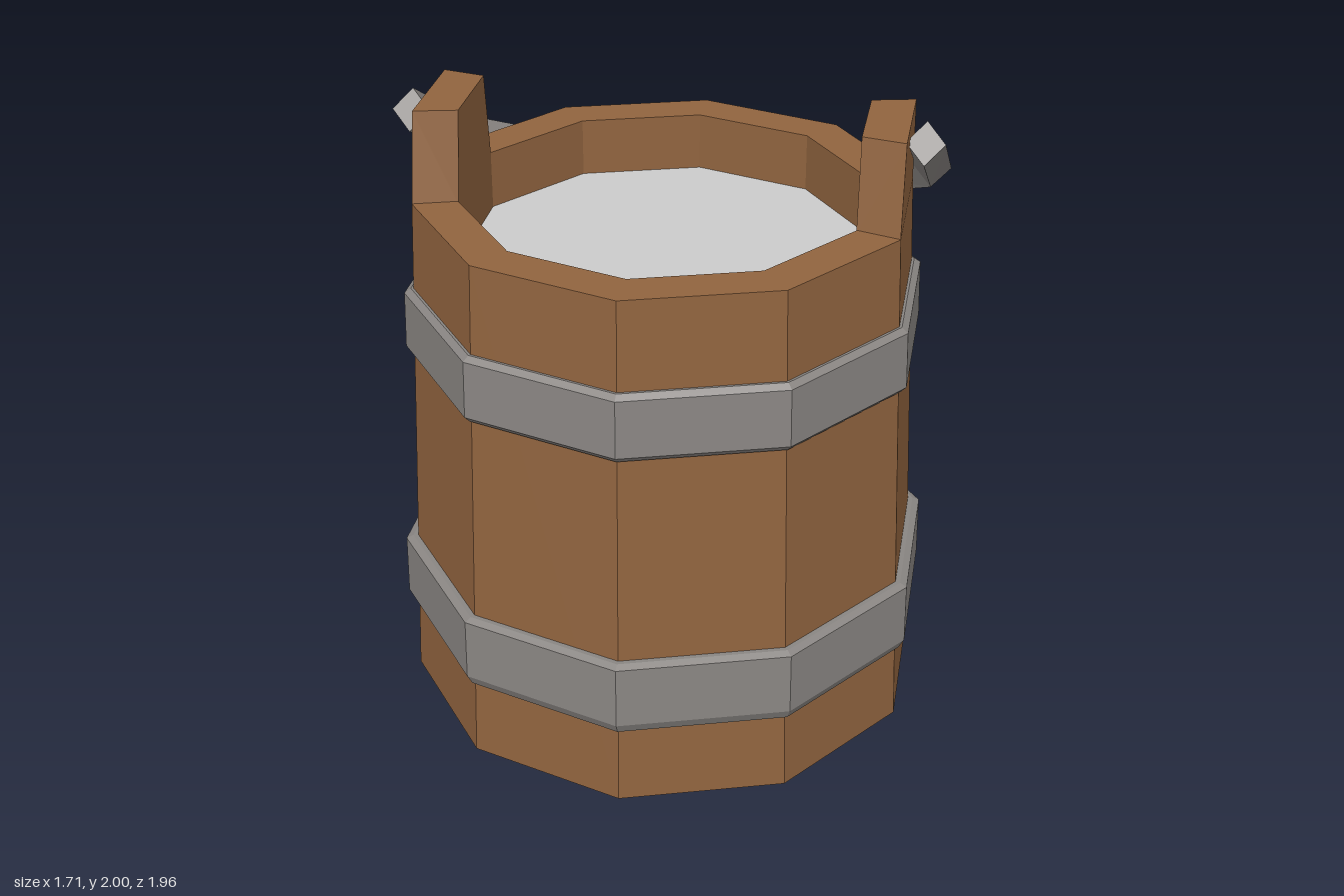
import * as THREE from 'three';

const SIDES = 10;
const CENTER_Z = 0.105; // tub axis; the handle swings out behind it

const mat = (color) => new THREE.MeshStandardMaterial({ color, flatShading: true });

// Joins rings of corners (counterclockwise about the path) and caps both ends.
function loft(rings) {
  const pos = [];
  const tri = (...pts) => pts.forEach((p) => pos.push(p.x, p.y, p.z));
  const n = rings[0].length;
  for (let r = 0; r < rings.length - 1; r++) {
    for (let i = 0; i < n; i++) {
      const j = (i + 1) % n;
      tri(rings[r][i], rings[r][j], rings[r + 1][j]);
      tri(rings[r][i], rings[r + 1][j], rings[r + 1][i]);
    }
  }
  const first = rings[0], last = rings[rings.length - 1];
  for (let i = 1; i < n - 1; i++) {
    tri(first[0], first[i + 1], first[i]);
    tri(last[0], last[i], last[i + 1]);
  }
  const geo = new THREE.BufferGeometry();
  geo.setAttribute('position', new THREE.Float32BufferAttribute(pos, 3));
  geo.computeVertexNormals();
  return geo;
}

// Ten-sided turned part with a corner at the front
function turned(profile) {
  return new THREE.LatheGeometry(profile.map(([r, y]) => new THREE.Vector2(r, y)), SIDES);
}

export function createModel() {
  const model = new THREE.Group();
  const wood = mat(0x91643f);
  const metal = mat(0x8a8683);
  const grey = mat(0xcccccc);

  const add = (name, geo, material, parent = model) => {
    const mesh = new THREE.Mesh(geo, material);
    mesh.name = name;
    parent.add(mesh);
    return mesh;
  };
  const addPair = (name, geo, material) => {
    add(name + 'Left', geo, material);
    add(name + 'Right', geo, material).scale.x = -1;
  };

  const tub = new THREE.Group();
  tub.name = 'tub';
  tub.position.z = CENTER_Z;
  model.add(tub);

  // Tapered wooden wall with slightly recessed floor
  add('barrelWall', turned([
    [0, 0.02], [0.69, 0.02], [0.855, 0], [0.785, 1.71], [0.643, 1.71], [0.643, 1.5],
  ]), wood, tub);

  // Liquid surface
  const water = new THREE.CircleGeometry(0.645, SIDES, Math.PI / 2);
  water.rotateX(-Math.PI / 2);
  add('waterSurface', water, grey, tub).position.y = 1.52;

  // Hoops with bevelled edges
  add('lowerHoop', turned([
    [0.83, 0.265], [0.858, 0.265], [0.876, 0.3], [0.873, 0.505], [0.85, 0.515], [0.82, 0.515],
  ]), metal, tub);
  add('upperHoop', turned([
    [0.79, 1.205], [0.812, 1.205], [0.831, 1.225], [0.826, 1.41], [0.805, 1.425], [0.78, 1.425],
  ]), metal, tub);

  // Two raised staves that carry the handle
  const staveRing = (y, inner, outer) => [[0.611, -inner], [0.611, inner], [0.746, outer], [0.746, -outer]]
    .map(([x, z]) => new THREE.Vector3(x, y, z + CENTER_Z));
  addPair('raisedStave', loft([staveRing(1.7, 0.199, 0.243), staveRing(1.99, 0.152, 0.183)]), wood);

  // Handle: diamond sections in a tilted plane
  const along = new THREE.Vector3(0, -0.477, -0.879);
  const up = new THREE.Vector3(0, 0.879, -0.477);
  const pivot = new THREE.Vector3(0, 1.937, 0.147);
  const diamond = (x, s, nx, ns, halfUp) => {
    const c = pivot.clone().addScaledVector(along, s).setX(x);
    const u = up.clone().multiplyScalar(halfUp);
    const n = along.clone().multiplyScalar(ns).setX(nx);
    return [c.clone().add(u), c.clone().add(n), c.clone().sub(u), c.clone().sub(n)];
  };
  const barEnd = diamond(0.793, 0, 0.06, 0, 0.068);
  const barBend = diamond(0.793, 0.64, 0.062, 0.018, 0.068);
  const gripEnd = diamond(0.485, 1.105, 0.031, 0.052, 0.068);
  const gripMiddle = diamond(0, 1.168, 0, 0.11, 0.147);
  const gripFar = diamond(-0.485, 1.105, -0.031, 0.052, 0.068);

  addPair('handleBar', loft([barEnd, barBend, gripEnd]), metal);
  add('handleGrip', loft([gripEnd, gripMiddle, gripFar]), wood);

  return model;
}
